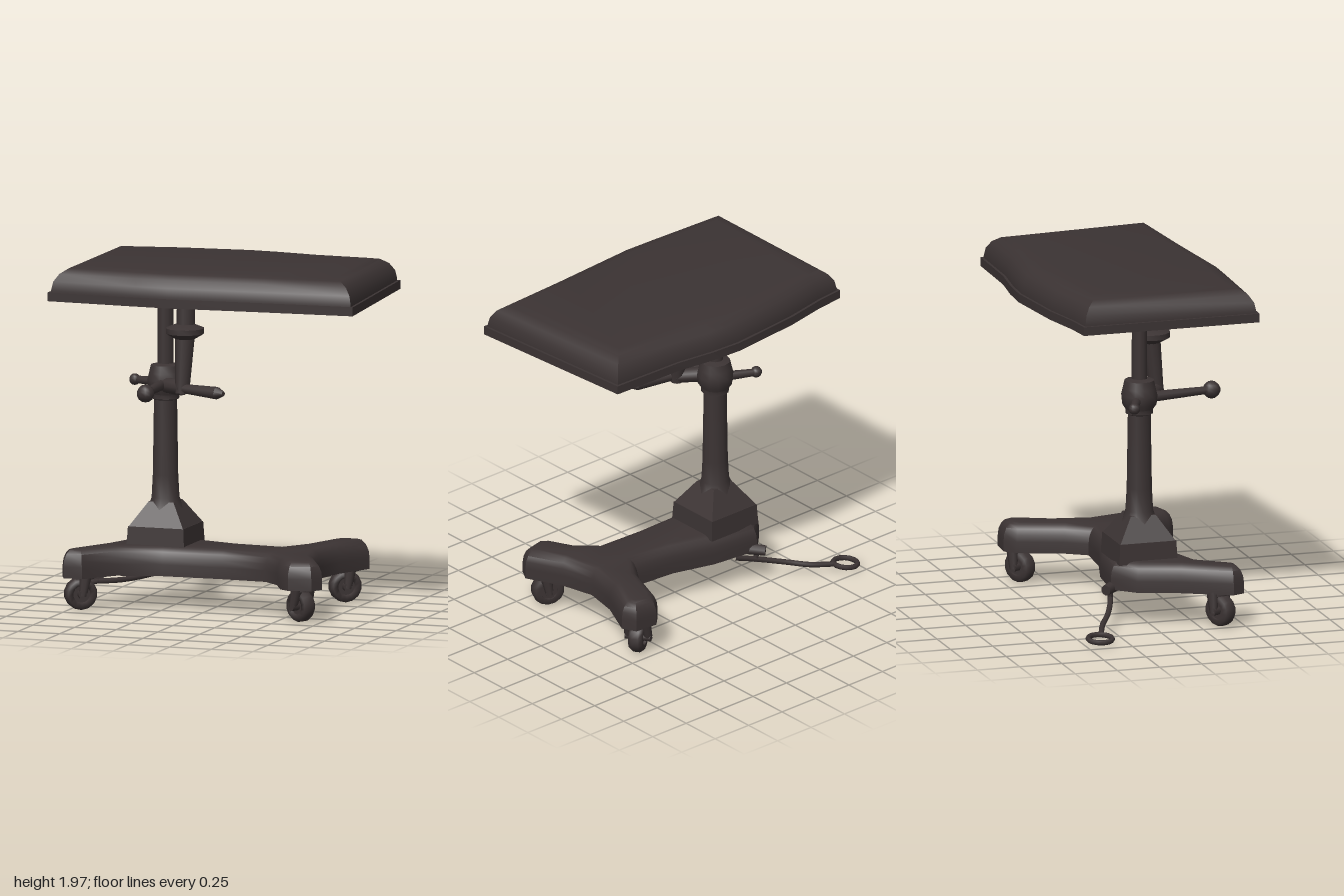
import * as THREE from 'three';
import { toCreasedNormals } from 'three/addons/utils/BufferGeometryUtils.js';

const V = (x, y, z) => new THREE.Vector3(x, y, z);

export function createModel() {
  const model = new THREE.Group();
  const iron = new THREE.MeshStandardMaterial({ color: 0x3b3333 });
  iron.name = 'darkIron';

  function add(name, geometry, parent = model) {
    const mesh = new THREE.Mesh(geometry, iron);
    mesh.name = name;
    parent.add(mesh);
    return mesh;
  }

  // Tapered round bar between two points
  function bar(name, a, b, ra, rb, sides = 10, parent = model) {
    const mesh = add(name, new THREE.CylinderGeometry(rb, ra, a.distanceTo(b), sides), parent);
    mesh.position.copy(a).add(b).multiplyScalar(0.5);
    mesh.quaternion.setFromUnitVectors(V(0, 1, 0), b.clone().sub(a).normalize());
    return mesh;
  }

  // Turned part around a vertical axis, profile as [radius, y]
  function turned(name, profile, x, z, sides = 12) {
    const points = profile.map(([r, y]) => new THREE.Vector2(r, y));
    const mesh = add(name, toCreasedNormals(new THREE.LatheGeometry(points, sides), 0.7));
    mesh.position.set(x, 0, z);
    return mesh;
  }

  // Slab from an [x, z] outline: flat underside at y0, rounded upper edge
  function slab(name, outline, y0, y1, bevel, rise, inset = 0) {
    const shape = new THREE.Shape(outline.map(([x, z]) => new THREE.Vector2(x, -z)));
    const geometry = new THREE.ExtrudeGeometry(shape, {
      depth: y1 - y0 - rise, bevelEnabled: bevel > 0, bevelSize: bevel,
      bevelThickness: rise, bevelOffset: -bevel - inset, bevelSegments: 4
    });
    const p = geometry.attributes.position;
    for (let i = 0; i < p.count; i++) p.setZ(i, Math.max(0, p.getZ(i)));
    geometry.rotateX(-Math.PI / 2).translate(0, y0, 0);
    return add(name, toCreasedNormals(geometry, 0.75));
  }

  // Table top: thin rim with a padded cushion
  const top = [[-0.82, -0.48], [-0.65, -0.5], [-0.4, -0.55], [0.03, -0.595], [0.22, -0.585], [0.45, -0.555],
    [0.9, -0.545], [0.99, 0.505], [0.45, 0.54], [-0.1, 0.585], [-0.3, 0.58], [-0.82, 0.56]];
  slab('tabletopRim', top, 1.79, 1.84, 0, 0);
  slab('tabletopCushion', top, 1.83, 1.98, 0.13, 0.13, 0.015);
  const plate = turned('mountingPlate', [[0, 1.755], [0.17, 1.755], [0.23, 1.775], [0.25, 1.795]], -0.19, 0.07, 16);
  plate.scale.z = 0.8;

  // Three-footed base: one foot on the right, a forked pair on the left
  const outline = [[-0.78, 0.42], [-0.75, 0.49], [-0.64, 0.49], [-0.5, 0.3], [-0.25, 0.23], [0.1, 0.22], [0.37, 0.23],
    [0.47, 0.32], [0.54, 0.46], [0.6, 0.5], [0.73, 0.47], [0.77, 0.4], [0.67, 0.2], [0.62, 0], [0.66, -0.2], [0.76, -0.42],
    [0.72, -0.5], [0.58, -0.51], [0.52, -0.45], [0.43, -0.2], [0.35, -0.08], [0.1, -0.1], [-0.15, -0.17],
    [-0.44, -0.2], [-0.56, -0.08], [-0.64, 0.15]];
  slab('base', outline, 0.2, 0.365, 0.06, 0.1);

  // Column with square foot, collar and inner tube
  const px = -0.31, pz = 0.01;
  const foot = add('columnFoot', new THREE.CylinderGeometry(0.235, 0.245, 0.12, 4, 1, false, Math.PI / 4).toNonIndexed());
  foot.position.set(px, 0.405, pz);
  foot.geometry.computeVertexNormals();
  const flare = add('columnFlare', new THREE.CylinderGeometry(0.105, 0.235, 0.14, 4, 1, false, Math.PI / 4).toNonIndexed());
  flare.position.set(px, 0.53, pz);
  flare.geometry.computeVertexNormals();
  turned('column', [[0.15, 0.46], [0.105, 0.55], [0.08, 0.62], [0.073, 0.75], [0.066, 1.2]], px, pz);
  turned('collar', [[0.06, 1.175], [0.08, 1.185], [0.08, 1.21], [0.1, 1.24], [0.105, 1.29], [0.095, 1.33],
    [0.085, 1.375], [0.045, 1.385]], px, pz);
  bar('innerTube', V(px, 1.3, pz), V(px, 1.79, pz), 0.046, 0.044);

  // Tilt rod with flange beside the column
  bar('tiltRodUpper', V(-0.15, 1.6, 0.12), V(-0.15, 1.79, 0.11), 0.052, 0.052);
  turned('tiltRodFlange', [[0.05, 1.545], [0.085, 1.565], [0.11, 1.58], [0.11, 1.61], [0.06, 1.63], [0, 1.635]], -0.15, 0.13);
  bar('tiltRodLower', V(-0.155, 1.24, 0.165), V(-0.15, 1.57, 0.13), 0.04, 0.056);
  bar('tiltRodLink', V(px, 1.27, 0.06), V(-0.15, 1.27, 0.165), 0.045, 0.042);

  // Clamp handles
  function knob(name, position, radius) {
    add(name, new THREE.SphereGeometry(radius, 10, 7)).position.copy(position);
  }
  bar('frontHandle', V(px, 1.27, 0.05), V(-0.275, 1.275, 0.43), 0.032, 0.022);
  knob('frontHandleKnob', V(-0.272, 1.275, 0.45), 0.051);
  bar('rightHandle', V(px, 1.27, 0), V(-0.52, 1.265, -0.09), 0.03, 0.021);
  knob('rightHandleKnob', V(-0.53, 1.265, -0.09), 0.033);
  bar('leftHandle', V(-0.16, 1.27, 0.17), V(0.08, 1.265, 0.24), 0.026, 0.036);
  bar('leftHandleTip', V(0.08, 1.265, 0.24), V(0.125, 1.265, 0.255), 0.036, 0.014);

  // Casters: wheel, hub and fork under each foot
  [[-0.69, 0.37, 0.55], [0.63, 0.37, -0.5], [0.62, -0.4, 0.6]].forEach(([x, z, turn]) => {
    const caster = new THREE.Group();
    caster.name = 'caster';
    caster.position.set(x, 0, z);
    caster.rotation.y = turn;
    const tyre = [[0.05, -0.04], [0.078, -0.04], [0.093, -0.02], [0.093, 0.02], [0.078, 0.04], [0.05, 0.04], [0.05, -0.04]];
    const wheel = add('wheel', new THREE.LatheGeometry(tyre.map(([r, y]) => new THREE.Vector2(r, y)), 14), caster);
    wheel.rotation.x = Math.PI / 2;
    wheel.position.y = 0.1;
    bar('wheelDisc', V(0, 0.1, -0.025), V(0, 0.1, 0.025), 0.055, 0.055, 12, caster);
    bar('axle', V(0, 0.1, -0.075), V(0, 0.1, 0.075), 0.026, 0.026, 8, caster);
    for (const side of [-1, 1]) {
      bar('forkArm', V(0, 0.09, side * 0.06), V(0.02, 0.205, side * 0.045), 0.022, 0.035, 8, caster);
    }
    bar('stem', V(0.02, 0.185, 0), V(0.02, 0.23, 0), 0.06, 0.06, 10, caster);
    model.add(caster);
  });

  // Foot pedal: stub, bent rod and ring
  bar('pedalStub', V(-0.38, 0.215, -0.14), V(-0.47, 0.205, -0.24), 0.035, 0.03);
  bar('pedalBracket', V(-0.44, 0.21, -0.2), V(-0.43, 0.135, -0.2), 0.015, 0.015, 6);
  const path = new THREE.CatmullRomCurve3([V(-0.3, 0.19, -0.17), V(-0.43, 0.15, -0.2), V(-0.6, 0.1, -0.27),
    V(-0.72, 0.07, -0.34), V(-0.85, 0.05, -0.39)]);
  add('pedalRod', new THREE.TubeGeometry(path, 16, 0.016, 7));
  const ring = add('pedalRing', new THREE.TorusGeometry(0.07, 0.015, 6, 14));
  ring.rotation.set(Math.PI / 2, 0.1, 0);
  ring.position.set(-0.915, 0.045, -0.415);

  return model;
}
